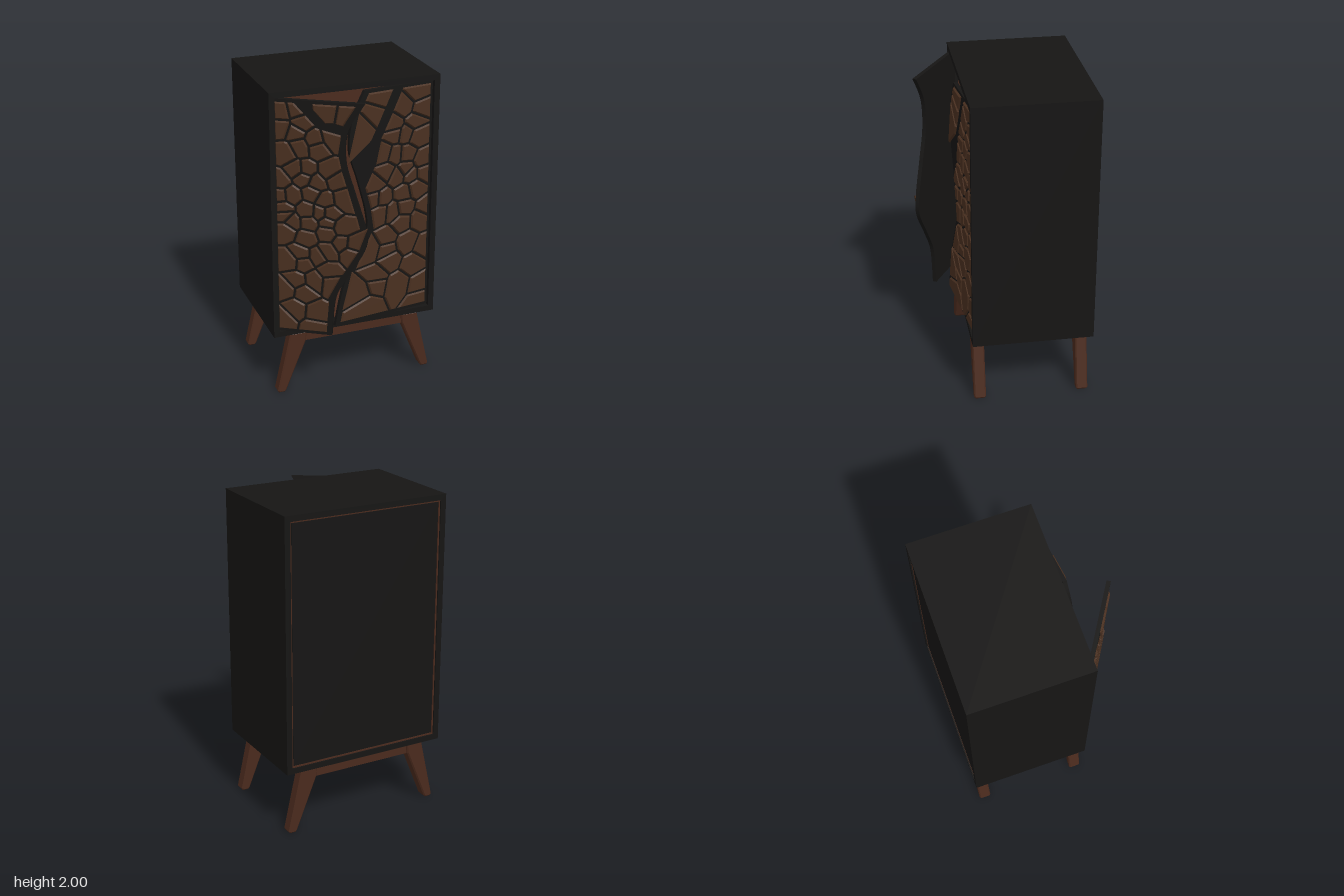
import * as THREE from 'three';
import { mergeGeometries } from 'three/addons/utils/BufferGeometryUtils.js';
import { ConvexGeometry } from 'three/addons/geometries/ConvexGeometry.js';

const mat = (color) => new THREE.MeshStandardMaterial({ color, flatShading: true });
const black = mat(0x161514), wood = mat(0x4a2a1d), tileWood = mat(0x4a3020);
const V = (x, y) => new THREE.Vector2(x, y);

function add(parent, name, geometry, material, x = 0, y = 0, z = 0) {
  const mesh = new THREE.Mesh(geometry, material);
  mesh.name = name;
  mesh.position.set(x, y, z);
  parent.add(mesh);
  return mesh;
}

// Rectangular tube of wall thickness t, running along z
function frame(w, h, t, depth) {
  const rect = (a, b) => [V(-a, -b), V(a, -b), V(a, b), V(-a, b)];
  const shape = new THREE.Shape(rect(w / 2, h / 2));
  shape.holes.push(new THREE.Path(rect(w / 2 - t, h / 2 - t)));
  return new THREE.ExtrudeGeometry(shape, { depth, bevelEnabled: false });
}

function seeded(seed) {
  return () => (seed = (seed * 16807) % 2147483647) / 2147483647;
}

// Nearest point to p on a polyline
function nearest(p, line) {
  let best = null, bestD = Infinity;
  for (let i = 0; i < line.length - 1; i++) {
    const ab = line[i + 1].clone().sub(line[i]);
    const t = THREE.MathUtils.clamp(p.clone().sub(line[i]).dot(ab) / ab.lengthSq(), 0, 1);
    const q = line[i].clone().addScaledVector(ab, t);
    const d = q.distanceTo(p);
    if (d < bestD) { bestD = d; best = q; }
  }
  return best;
}

// Convex polygon left by half planes n.p <= c, each pulled in by inset
function clipCell(planes, inset) {
  let poly = [V(-3, -3), V(3, -3), V(3, 3), V(-3, 3)];
  for (const { n, c } of planes) {
    const out = [];
    poly.forEach((a, i) => {
      const b = poly[(i + 1) % poly.length];
      const da = n.dot(a) - c + inset, db = n.dot(b) - c + inset;
      if (da <= 0) out.push(a);
      if (da * db < 0) out.push(a.clone().lerp(b, da / (da - db)));
    });
    poly = out;
    if (poly.length < 3) return [];
  }
  return poly;
}

const Y0 = 0.45, Y1 = 1.96, PANEL = 0.025, TILE = 0.011;

// Door with a wavy free edge, dark branch bands and a cracked mosaic of tiles
function door({ name, side, angle, hingeZ, edge, branch, bandWidth, size, seed }) {
  const group = new THREE.Group();
  group.name = name;
  group.position.set(side * 0.5, 0, hingeZ);
  group.rotation.y = side * angle;
  const local = ([x, y]) => V((x - side * 0.5) / Math.cos(angle), y);
  const edgeLine = new THREE.SplineCurve(edge.map(local)).getPoints(60);
  const branchLine = branch.map(local);

  const outline = new THREE.Shape([V(0, Y0), ...edgeLine, V(0, Y1)]);
  add(group, name + 'Panel', new THREE.ExtrudeGeometry(outline, { depth: PANEL, bevelEnabled: false }), black);

  // Jittered sites, coarser toward the bottom
  const rand = seeded(seed), sites = [];
  let row = 0;
  for (let y = Y0 + 0.05; y < Y1; row++) {
    const step = THREE.MathUtils.lerp(size[0], size[1], Math.min(1, (y - Y0) / 0.9));
    for (let u = step * (row % 2 ? 0.3 : 0.75); u < 0.72; u += step * 1.08) {
      const p = V(-side * (u + (rand() - 0.5) * step * 0.75), y + (rand() - 0.5) * step * 0.75);
      const q = nearest(p, edgeLine);
      const inside = (q.x - p.x) * -side > 0 && q.distanceTo(p) > 0.055;
      if (inside && nearest(p, branchLine).distanceTo(p) > bandWidth + 0.02
        && -side * p.x > 0.02 && p.y > Y0 + 0.03 && p.y < Y1 - 0.03) sites.push(p);
    }
    y += step * 0.95;
  }

  const border = [
    { n: V(side, 0), c: -0.008 }, { n: V(0, -1), c: -Y0 - 0.012 }, { n: V(0, 1), c: Y1 - 0.012 },
  ];
  const tiles = [];
  for (const s of sites) {
    const planes = [...border];
    for (const [line, gap] of [[edgeLine, 0.026], [branchLine, bandWidth]]) {
      const q = nearest(s, line), n = q.clone().sub(s).normalize();
      planes.push({ n, c: n.dot(q) - gap });
    }
    for (const o of sites) {
      if (o === s || o.distanceTo(s) > 0.5) continue;
      const n = o.clone().sub(s).normalize();
      planes.push({ n, c: n.dot(o.clone().add(s).multiplyScalar(0.5)) });
    }
    const base = clipCell(planes, 0.006), top = clipCell(planes, 0.014);
    if (base.length < 3 || top.length < 3) continue;
    tiles.push(new ConvexGeometry([
      ...base.map((p) => new THREE.Vector3(p.x, p.y, PANEL - 0.001)),
      ...top.map((p) => new THREE.Vector3(p.x, p.y, PANEL + TILE)),
    ]));
  }
  add(group, name + 'Tiles', mergeGeometries(tiles), tileWood);
  return group;
}

export function createModel() {
  const model = new THREE.Group();
  model.name = 'cabinet';

  // Case: dark shell, wooden lining, back panel
  const midY = 1.205;
  add(model, 'shell', frame(1.08, 1.59, 0.036, 0.76), black, 0, midY, -0.515);
  add(model, 'lining', frame(1.01, 1.52, 0.01, 0.69), wood, 0, midY, -0.507);
  add(model, 'backPanel', new THREE.BoxGeometry(0.985, 1.495, 0.012), black, 0, midY, -0.499);
  add(model, 'innerBack', new THREE.BoxGeometry(0.99, 1.5, 0.01), wood, 0, midY, -0.487);

  // Doors, both ajar
  model.add(door({
    name: 'rightDoor', side: -1, angle: 0.56, hingeZ: 0.2, seed: 4211, size: [0.115, 0.092], bandWidth: 0.022,
    edge: [[-0.205, 0.45], [-0.185, 0.7], [-0.12, 0.86], [-0.03, 1.05], [-0.03, 1.18],
      [-0.085, 1.4], [-0.132, 1.6], [-0.12, 1.79], [-0.037, 1.96]],
    branch: [[-0.38, 1.97], [-0.26, 1.82], [-0.13, 1.785]],
  }));
  model.add(door({
    name: 'leftDoor', side: 1, angle: 0.126, hingeZ: 0.195, seed: 977, size: [0.155, 0.1], bandWidth: 0.024,
    edge: [[-0.16, 0.45], [-0.105, 0.7], [-0.032, 0.86], [0.053, 1.05], [0.053, 1.18],
      [-0.005, 1.4], [-0.063, 1.6], [-0.042, 1.79], [0.037, 1.96]],
    branch: [[0.275, 1.97], [0.18, 1.77], [0.125, 1.66], [0.09, 1.5], [0.01, 1.34]],
  }));

  // Splayed legs
  const profile = [[0.32, 0.41], [0.43, 0.41], [0.52, 0.012], [0.512, 0], [0.474, 0], [0.463, 0.012], [0.328, 0.345]];
  for (const s of [-1, 1]) {
    const shape = new THREE.Shape(profile.map(([x, y]) => V(s * x, y)));
    const leg = new THREE.ExtrudeGeometry(shape, {
      depth: 0.059, bevelThickness: 0.008, bevelSize: 0.008, bevelOffset: -0.008, bevelSegments: 1,
    });
    add(model, 'frontLeg', leg, wood, 0, 0, 0.168);
    add(model, 'backLeg', leg, wood, 0, 0, -0.487);
    add(model, 'sideRail', new THREE.BoxGeometry(0.045, 0.07, 0.6), wood, s * 0.37, 0.376, -0.13);
  }
  for (const z of [0.198, -0.458]) {
    add(model, 'crossRail', new THREE.BoxGeometry(0.68, 0.07, 0.045), wood, 0, 0.376, z);
  }
  return model;
}
